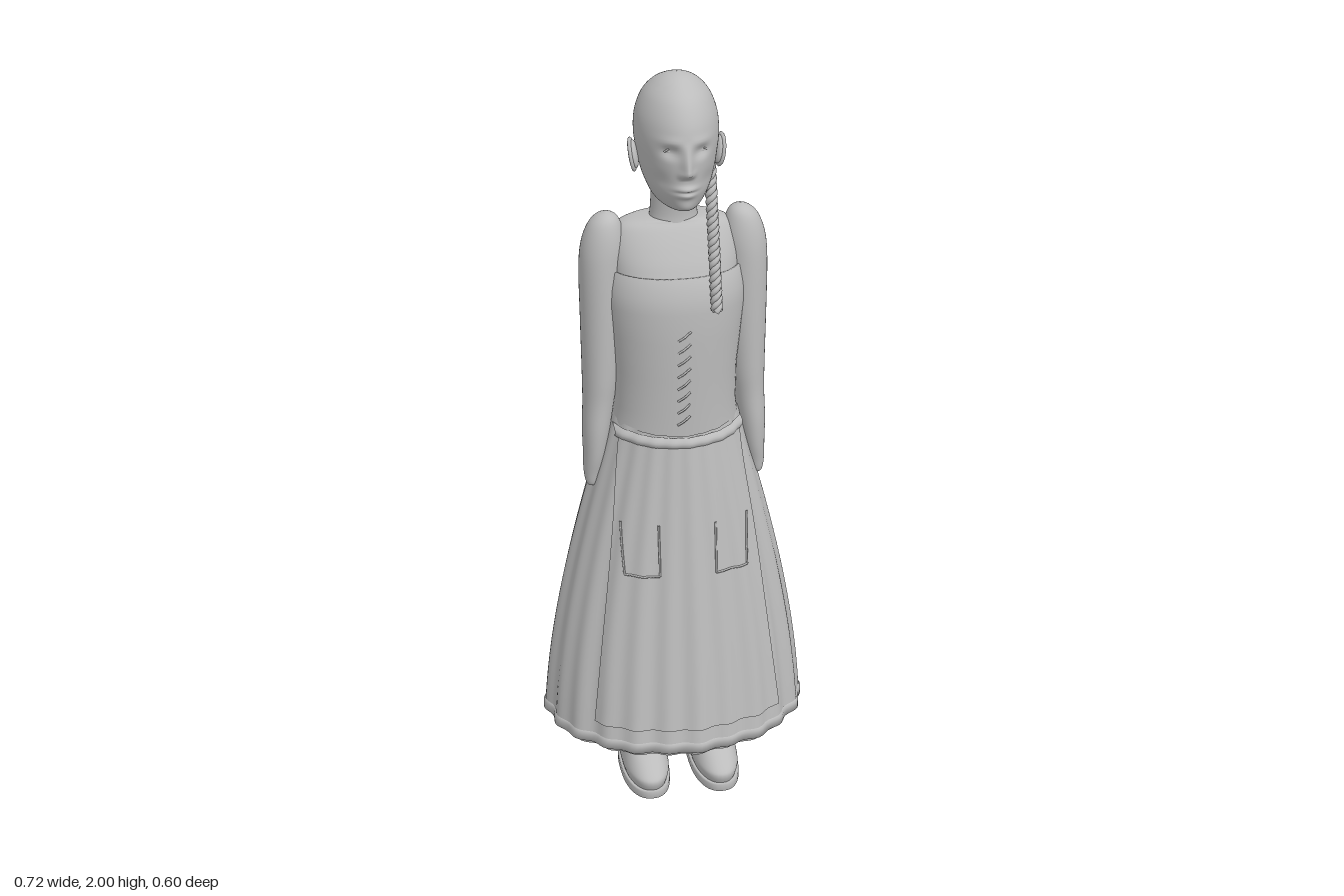
import * as THREE from 'three';

const cloth = new THREE.MeshStandardMaterial({ color: 0xbcbcbc, side: THREE.DoubleSide });
cloth.name = 'plain grey';

// Smooth surface from a rule fn(u, v) -> [x, y, z]; u may wrap round.
function sheet(fn, nu, nv, wrap = false) {
  const pos = [], index = [], cols = wrap ? nu : nu + 1;
  for (let j = 0; j <= nv; j++)
    for (let i = 0; i < cols; i++) pos.push(...fn(i / nu, j / nv));
  for (let j = 0; j < nv; j++)
    for (let i = 0; i < nu; i++) {
      const a = j * cols + i, b = j * cols + (i + 1) % cols;
      index.push(a, b, b + cols, a, b + cols, a + cols);
    }
  const g = new THREE.BufferGeometry();
  g.setAttribute('position', new THREE.Float32BufferAttribute(pos, 3));
  g.setIndex(index);
  g.computeVertexNormals();
  return g;
}

// Catmull-Rom blend along a list of rows
function rowAt(rows, v) {
  const f = v * (rows.length - 1), k = Math.min(Math.floor(f), rows.length - 2), t = f - k;
  const r = (i) => rows[Math.max(0, Math.min(rows.length - 1, i))];
  return rows[k].map((_, c) => {
    const a = r(k - 1)[c], b = r(k)[c], d = r(k + 1)[c], e = r(k + 2)[c];
    return b + 0.5 * t * (d - a + t * (2 * a - 5 * b + 4 * d - e + t * (3 * (b - d) + e - a)));
  });
}

// Loft of rounded sections, rows bottom to top: [y, centre x, half width, front z, back z]
function loft(rows, { n = 40, steps = 5, power = 1, bend = (p) => p } = {}) {
  const sp = (s) => Math.sign(s) * Math.abs(s) ** power;
  return sheet((u, v) => {
    const [y, cx, rx, zf, zb] = rowAt(rows, v), a = u * Math.PI * 2;
    const s = sp(Math.sin(a)), c = sp(Math.cos(a));
    return bend([cx + rx * s, y, (zf + zb) / 2 + (zf - zb) / 2 * c], c);
  }, n, (rows.length - 1) * steps, true);
}

// Skirt surface: flared oval with folds that deepen toward the hem
function skirtSize(y) {
  const t = (1.1 - y) / 0.93;
  return { t, rx: 0.163 + 0.189 * Math.sin(t * 1.4) / Math.sin(1.4), zf: 0.165 + 0.127 * t, zb: 0.145 + 0.147 * t };
}
function skirtPoint(a, y, off = 0) {
  const { t, rx, zf, zb } = skirtSize(y);
  const fold = (0.0015 + 0.005 * t) * (Math.sin(a * 23 + 1.5 * Math.sin(a * 2)) + 0.6 * Math.sin(a * 11 + 1)) * 0.8;
  const c = Math.cos(a), rz = c > 0 ? zf : zb;
  return [Math.sin(a) * (rx + fold + off), y, c * (rz + fold + off)];
}
// Point on the front of the skirt at a given x and y
function frontPoint(x, y, off) {
  return skirtPoint(Math.asin(Math.max(-1, Math.min(1, x / (skirtSize(y).rx + off)))), y, off);
}

function tube(points, r, seg = 12, sides = 6) {
  const curve = new THREE.CatmullRomCurve3(points.map((p) => new THREE.Vector3(...p)));
  return new THREE.TubeGeometry(curve, seg, r, sides);
}

export function createModel() {
  const root = new THREE.Group();
  const add = (name, geo, parent = root) => {
    const m = new THREE.Mesh(geo, cloth);
    m.name = name;
    parent.add(m);
    return m;
  };

  // Head with modelled face
  const bump = (x, y, cx, cy, sx, sy) => Math.exp(-(((x - cx) / sx) ** 2) - ((y - cy) / sy) ** 2);
  const face = ([x, y, z], c) => {
    const w = x * (1 - 0.13 * c);
    if (c > 0) {
      const ax = Math.abs(w);
      const bridge = y > 1.787 ? Math.max(0, 1 - (y - 1.787) / 0.075) : Math.max(0, 1 - (1.787 - y) / 0.018);
      z += 0.027 * bridge * Math.exp(-((w / 0.013) ** 2))
        + 0.006 * bump(ax, y, 0.014, 1.782, 0.008, 0.009)
        - 0.014 * bump(ax, y, 0.038, 1.836, 0.02, 0.014)
        + 0.004 * bump(ax, y, 0.038, 1.862, 0.03, 0.01)
        + 0.009 * bump(w, y, 0, 1.744, 0.024, 0.007)
        + 0.008 * bump(w, y, 0, 1.727, 0.02, 0.007)
        - 0.004 * bump(w, y, 0, 1.7355, 0.026, 0.003)
        + 0.005 * bump(w, y, 0, 1.695, 0.025, 0.013)
        - 0.006 * bump(ax, y, 0.06, 1.755, 0.02, 0.025);
    }
    return [w, y, z];
  };
  add('head', loft([
    [1.682, 0, 0.001, 0.08, 0.078], [1.677, 0, 0.03, 0.14, 0.02], [1.683, 0, 0.05, 0.17, -0.02],
    [1.7, 0, 0.066, 0.18, -0.037], [1.73, 0, 0.08, 0.19, -0.045], [1.76, 0, 0.09, 0.191, -0.06],
    [1.8, 0, 0.098, 0.194, -0.074], [1.85, 0, 0.104, 0.194, -0.081], [1.9, 0, 0.1, 0.182, -0.076],
    [1.945, 0, 0.083, 0.155, -0.055], [1.975, 0, 0.058, 0.12, -0.022], [1.993, 0, 0.03, 0.085, 0.018],
    [2, 0, 0.001, 0.053, 0.051]], { n: 112, steps: 8, bend: face }));
  add('neck', loft([[1.59, 0, 0.066, 0.062, -0.05], [1.63, 0, 0.06, 0.058, -0.045], [1.7, 0, 0.057, 0.066, -0.04],
    [1.73, 0, 0.057, 0.07, -0.035]]));

  // Torso and shoulders
  add('torso', loft([
    [1.1, 0, 0.14, 0.12, -0.07], [1.3, 0, 0.14, 0.135, -0.085], [1.45, 0, 0.16, 0.137, -0.105],
    [1.5, 0, 0.165, 0.125, -0.1], [1.55, 0, 0.163, 0.1, -0.088], [1.59, 0, 0.15, 0.075, -0.072],
    [1.608, 0, 0.125, 0.06, -0.058], [1.616, 0, 0.08, 0.05, -0.05], [1.62, 0, 0.001, 0.001, -0.001]],
    { n: 56, power: 0.9 }));

  // Bodice: outer wall, rim, inner wall
  const bodiceRows = [
    [1.06, 0, 0.166, 0.152, -0.1], [1.12, 0, 0.158, 0.154, -0.1], [1.22, 0, 0.161, 0.158, -0.113],
    [1.32, 0, 0.172, 0.163, -0.124], [1.4, 0, 0.181, 0.163, -0.128], [1.44, 0, 0.18, 0.158, -0.126],
    [1.49, 0, 0.173, 0.143, -0.124], [1.49, 0, 0.163, 0.133, -0.113], [1.4, 0, 0.171, 0.153, -0.118]];
  add('bodice', loft(bodiceRows, { n: 64, steps: 1, power: 0.95 }));

  // Crossed lacing down the bodice front
  const lacing = new THREE.Group();
  lacing.name = 'lacing';
  root.add(lacing);
  for (let i = 0; i < 8; i++) {
    const y = 1.105 + i * 0.034, z = 0.154 + (y - 1.1) * 0.034;
    add('lace', tube([[-0.016, y - 0.011, z], [0, y, z + 0.003], [0.016, y + 0.013, z]], 0.003, 6, 5), lacing);
  }

  // Arms, shoes and legs, mirrored
  for (const s of [1, -1]) {
    const side = s > 0 ? 'left' : 'right';
    const arm = [
      [0.878, 0.222, 0.002, 0.028, 0.022], [0.886, 0.222, 0.014, 0.042, 0.008], [0.92, 0.219, 0.023, 0.05, -0.01],
      [0.97, 0.213, 0.029, 0.06, -0.024], [1.04, 0.207, 0.036, 0.066, -0.036], [1.12, 0.199, 0.041, 0.066, -0.044],
      [1.2, 0.193, 0.047, 0.07, -0.052], [1.35, 0.188, 0.054, 0.073, -0.056], [1.48, 0.186, 0.057, 0.072, -0.06],
      [1.55, 0.181, 0.056, 0.067, -0.054], [1.6, 0.177, 0.043, 0.055, -0.037], [1.625, 0.173, 0.025, 0.038, -0.02],
      [1.635, 0.172, 0.001, 0.011, 0.009]];
    add(side + 'Arm', loft(arm.map(([y, x, ...r]) => [y, s * x, ...r])));
    const x = s * 0.097;
    add(side + 'Sole', loft([
      [0, x, 0.001, 0.08, 0.07], [0, x, 0.062, 0.225, -0.077], [0.003, x, 0.066, 0.231, -0.08],
      [0.022, x, 0.066, 0.231, -0.08], [0.025, x, 0.062, 0.228, -0.077], [0.025, x, 0.001, 0.08, 0.07]],
      { steps: 1, power: 0.85 }));
    add(side + 'Shoe', loft([
      [0.022, x, 0.058, 0.222, -0.072], [0.045, x, 0.063, 0.23, -0.073], [0.062, x, 0.062, 0.222, -0.073],
      [0.09, x, 0.057, 0.18, -0.072], [0.115, x, 0.053, 0.128, -0.07], [0.14, x, 0.05, 0.07, -0.066],
      [0.145, x, 0.001, 0.001, -0.001]], { power: 0.9 }));
    const lx = s * 0.092;
    add(side + 'Leg', loft([
      [0.06, lx, 0.062, 0.055, -0.08], [0.13, lx, 0.06, 0.06, -0.074], [0.17, lx, 0.057, 0.064, -0.07],
      [0.3, lx, 0.056, 0.062, -0.066], [0.45, lx, 0.06, 0.066, -0.066], [0.9, s * 0.08, 0.068, 0.075, -0.065]]));
    // Ear: shell with a raised rim
    const ear = new THREE.Group();
    ear.name = side + 'Ear';
    ear.position.set(s * 0.105, 1.793, 0.045);
    ear.rotation.set(-0.2, s * 0.35, -s * 0.12);
    root.add(ear);
    add('earShell', new THREE.SphereGeometry(1, 20, 14), ear).scale.set(0.009, 0.036, 0.021);
    const rim = add('earRim', new THREE.TorusGeometry(0.02, 0.005, 8, 28), ear);
    rim.rotation.y = Math.PI / 2;
    rim.scale.y = 1.75;
    rim.position.x = s * 0.006;
    // Eye with upper lid
    const ex = s * 0.038;
    add(side + 'Eye', new THREE.SphereGeometry(0.0125, 16, 12)).position.set(ex, 1.836, 0.156);
    add(side + 'Eyelid', tube([[ex - 0.015, 1.836, 0.164 - s * 0.003], [ex, 1.844, 0.167], [ex + 0.015, 1.836, 0.164 - s * -0.003 - 0.006]], 0.0025));
  }

  // Skirt with a narrow hem tucked under it
  add('skirt', sheet((u, v) => {
    const a = u * Math.PI * 2, top = 1.09 - 0.02 * Math.cos(a);
    return skirtPoint(a, 0.19 + (top - 0.19) * v);
  }, 180, 28, true));
  add('hem', sheet((u, v) => {
    const [off, y] = [[-0.016, 0.165], [-0.014, 0.183], [0.005, 0.183], [0.005, 0.205], [0, 0.211]][Math.round(v * 4)];
    const p = skirtPoint(u * Math.PI * 2, 0.2, off);
    return [p[0], y, p[2]];
  }, 180, 4, true));

  // Apron with waistband and pocket outlines
  const halfWidth = (y) => 0.158 + (1.06 - y) * 0.12;
  add('apron', sheet((u, v) => {
    const y = 0.25 + 0.8 * v;
    return frontPoint((u * 2 - 1) * halfWidth(y), y, 0.006);
  }, 60, 20));
  add('waistband', sheet((u, v) => {
    const y = 1.04 + 0.03 * v - 0.012 * (1 - (u * 2 - 1) ** 2) * 0.3;
    return frontPoint((u * 2 - 1) * 0.168, y, 0.004 + 0.008 * Math.sin(v * Math.PI));
  }, 40, 6));
  for (const s of [1, -1]) {
    const pocket = new THREE.Group();
    pocket.name = s > 0 ? 'leftPocket' : 'rightPocket';
    root.add(pocket);
    for (const [x0, y0, x1, y1] of [[0.168, 0.83, 0.163, 0.69], [0.163, 0.69, 0.075, 0.69], [0.075, 0.69, 0.075, 0.83]]) {
      const line = [0, 0.25, 0.5, 0.75, 1].map((t) => frontPoint(s * (x0 + (x1 - x0) * t), y0 + (y1 - y0) * t, 0.008));
      add('pocketEdge', tube(line, 0.003, 12, 5), pocket);
    }
  }

  // Braid of three twisted strands over the left shoulder
  const braid = new THREE.Group();
  braid.name = 'braid';
  root.add(braid);
  for (let k = 0; k < 3; k++) {
    const pts = [];
    for (let i = 0; i <= 84; i++) {
      const t = i / 84, a = t * Math.PI * 14 + k * Math.PI * 2 / 3, r = 0.0075;
      pts.push([0.078 + 0.003 * t + r * Math.cos(a), 1.77 - 0.36 * t, 0.078 + 0.09 * t + r * Math.sin(a)]);
    }
    add('braidStrand', tube(pts, 0.0085, 110, 7), braid);
  }
  return root;
}
